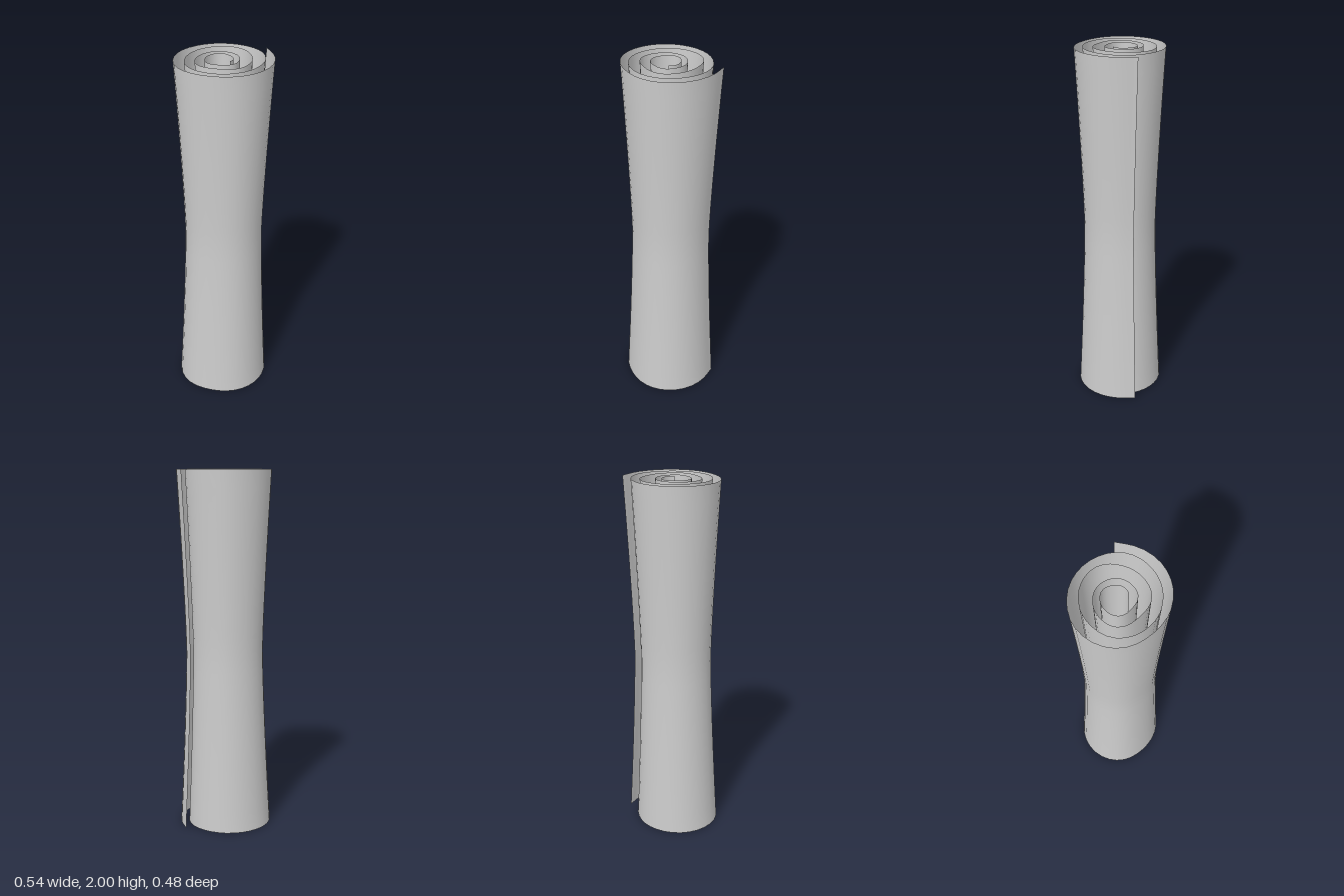
import * as THREE from 'three';

// Spiral radius at every 45 degrees, from the loose outer edge to the core
const RADII = [
  0.257, 0.245, 0.241, 0.240, 0.265, 0.263, 0.241, 0.221,
  0.211, 0.194, 0.195, 0.205, 0.216, 0.202, 0.192, 0.178,
  0.143, 0.133, 0.143, 0.140, 0.163, 0.145, 0.122, 0.094,
  0.076, 0.070, 0.081, 0.086, 0.109, 0.104, 0.091, 0.057,
  0.041, 0.036,
];

export function createModel() {
  const paper = new THREE.MeshStandardMaterial({ color: 0xcccccc, side: THREE.DoubleSide });
  paper.name = 'paper';

  // Curve of (angle in degrees, radius), with the flap and core tips added
  const spiral = new THREE.SplineCurve([
    new THREE.Vector2(-12, 0.269),
    ...RADII.map((r, i) => new THREE.Vector2(i * 45, r)),
    new THREE.Vector2(1522, 0.038),
  ]);
  const cols = 140;
  const rows = 20;

  // Rolled sheet: the spiral is swept upward, narrowing at mid height
  const sheet = new THREE.PlaneGeometry(1, 2, cols, rows);
  const pos = sheet.attributes.position;
  for (let j = 0; j <= rows; j++) {
    const t = 1 - (2 * j) / rows; // +1 at the top, -1 at the bottom
    const scale = 0.83 + 0.17 * Math.pow(Math.abs(t), 1.3);
    for (let i = 0; i <= cols; i++) {
      const p = spiral.getPoint(i / cols);
      const a = THREE.MathUtils.degToRad(p.x);
      const r = p.y * scale;
      pos.setXYZ(j * (cols + 1) + i, r * Math.cos(a) + 0.005 * t, 1 + t, r * Math.sin(a));
    }
  }
  // Turn the faces so that their fronts point away from the core
  const index = sheet.index;
  for (let k = 0; k < index.count; k += 3) {
    const b = index.getX(k + 1);
    index.setX(k + 1, index.getX(k + 2));
    index.setX(k + 2, b);
  }
  sheet.computeVertexNormals();

  const scroll = new THREE.Mesh(sheet, paper);
  scroll.name = 'rolledSheet';
  const group = new THREE.Group();
  group.name = 'scroll';
  group.add(scroll);
  return group;
}
